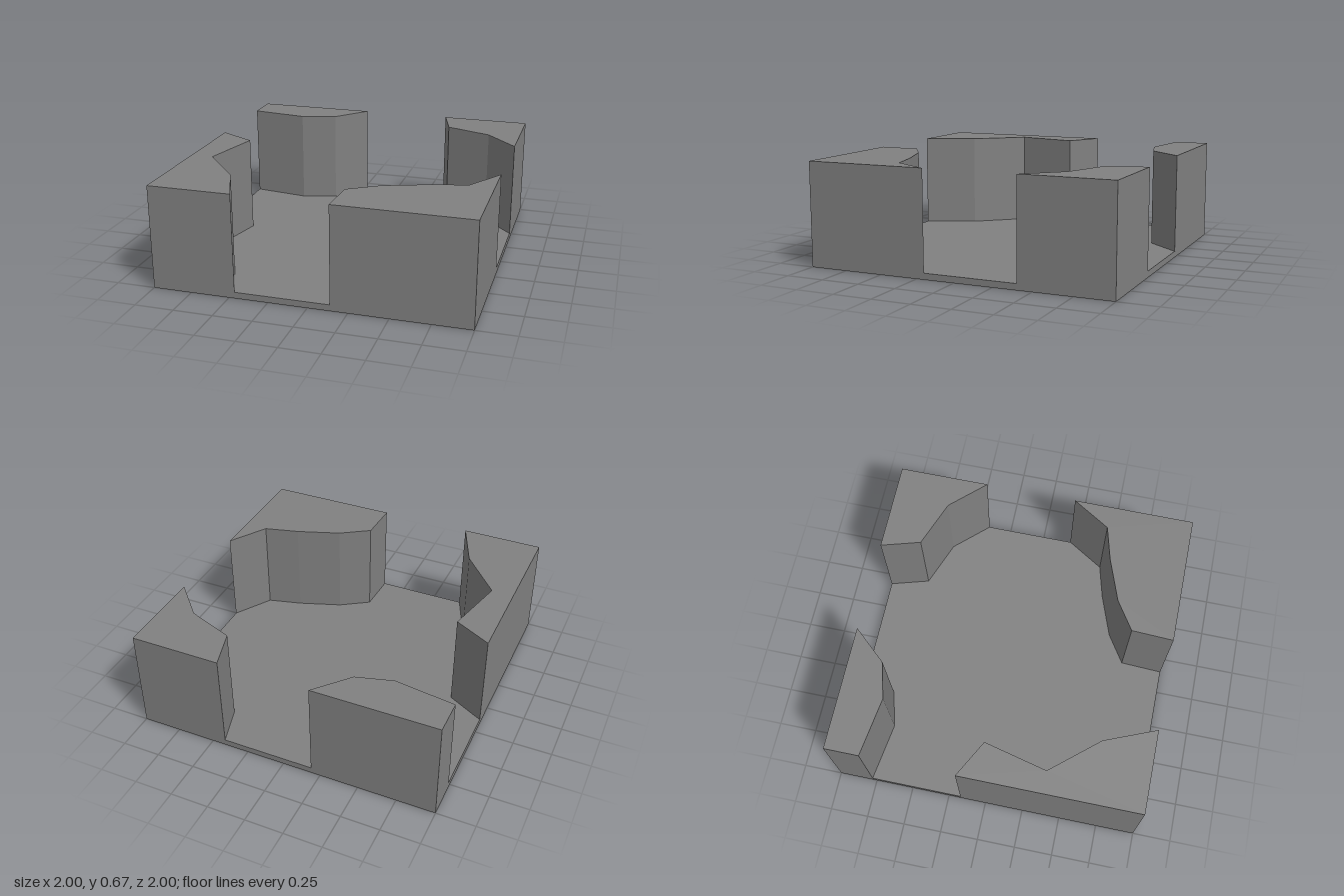
import * as THREE from 'three';

const FLOOR = 0.04, TOP = 0.67;

// Wall outlines as [x, z] corners in plan
const walls = {
  backRightWall: [[-1, -1], [-0.19, -1], [-0.38, -0.785], [-0.615, -0.72], [-1, -0.775]],
  backLeftWall: [[0.41, -1], [0.485, -0.745], [0.79, -0.63], [1, -0.405], [1, -1]],
  frontRightWall: [[-1, -0.17], [-0.758, -0.04], [-0.855, 0.37], [-0.6, 0.67], [-0.463, 1], [-1, 1]],
  frontLeftWall: [[1, 0.2], [0.845, 0.447], [0.62, 0.505], [0.34, 0.605], [0.152, 0.727], [0.14, 1], [1, 1]],
};

export function createModel() {
  const group = new THREE.Group();
  const material = new THREE.MeshStandardMaterial({ color: 0x808080, flatShading: true });

  // Thin square floor slab
  const floor = new THREE.Mesh(new THREE.BoxGeometry(2, FLOOR, 2), material);
  floor.position.y = FLOOR / 2;
  floor.name = 'floor';
  group.add(floor);

  // Four faceted corner walls, extruded upwards from the floor
  for (const [name, corners] of Object.entries(walls)) {
    const shape = new THREE.Shape(corners.map(([x, z]) => new THREE.Vector2(x, -z)));
    const geometry = new THREE.ExtrudeGeometry(shape, { depth: TOP - FLOOR, bevelEnabled: false });
    geometry.rotateX(-Math.PI / 2);
    const wall = new THREE.Mesh(geometry, material);
    wall.position.y = FLOOR;
    wall.name = name;
    group.add(wall);
  }
  return group;
}
